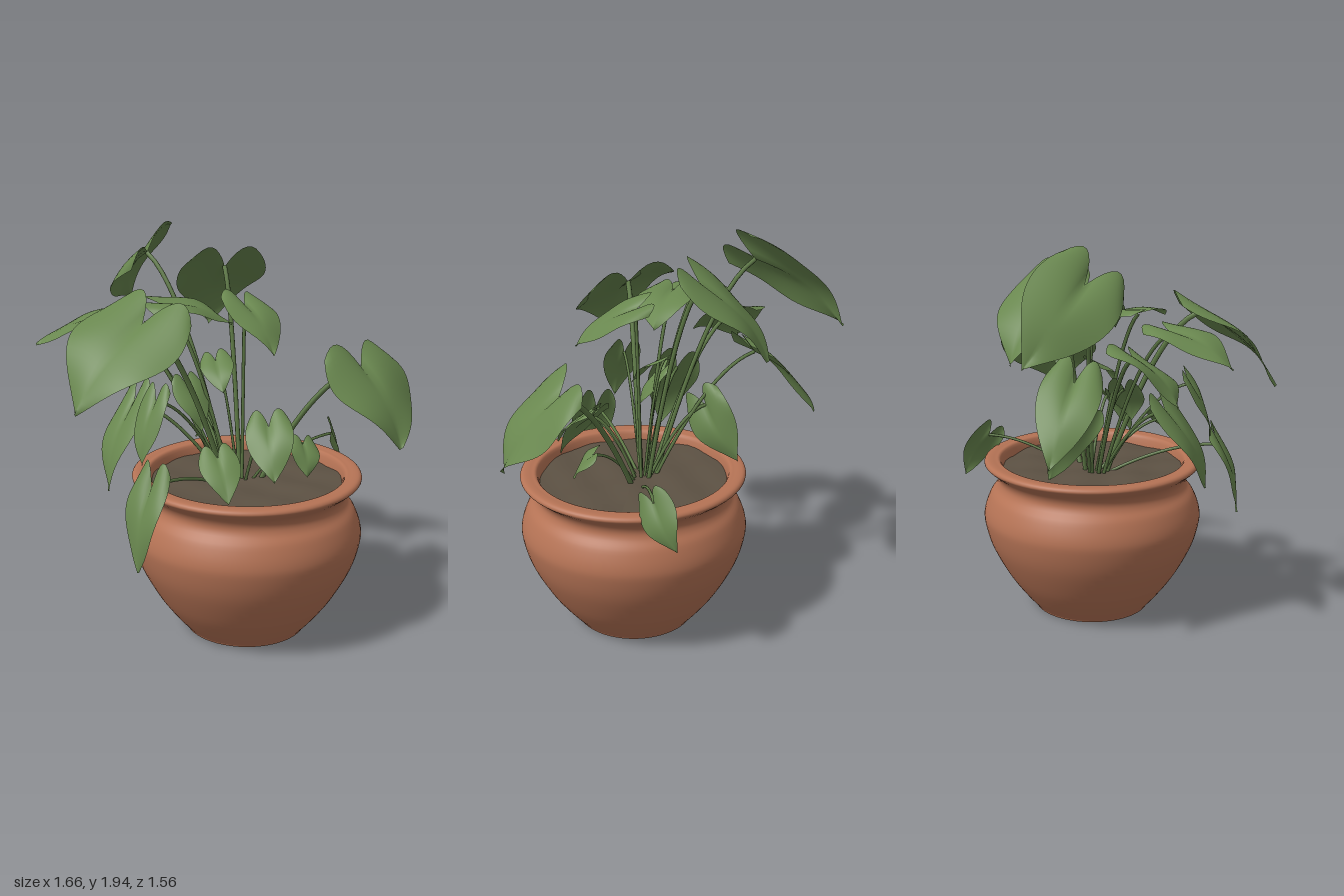
import * as THREE from 'three';

const mat = (name, color, side = THREE.FrontSide) => {
  const m = new THREE.MeshStandardMaterial({ color, side });
  m.name = name;
  return m;
};
const terracotta = mat('terracotta', 0xb57355);
const soilBrown = mat('soil brown', 0x5c5143);
const leafGreen = mat('leaf green', 0x69874f, THREE.DoubleSide);
const stemGreen = mat('stem green', 0x5d7845);

const CX = 0.11, CZ = 0.22; // pot axis

// Heart-shaped blade from its notch (base) to its tip, rolled about the midrib
function leafGeometry(base, tip, roll, half, seed) {
  const along = tip.clone().sub(base), len = along.length();
  along.normalize();
  const across = new THREE.Vector3(-along.z, 0, along.x).normalize().applyAxisAngle(along, -roll);
  const up = across.clone().cross(along);
  if (up.y < 0) up.negate();
  const nu = 16, nv = 20, pos = [], index = [];
  for (let j = 0; j <= nv; j++) {
    const v = j / nv;
    const width = half * 1.06 * Math.sin(Math.PI * (0.27 + 0.73 * v)) * (1 - 0.2 * v);
    for (let i = 0; i <= nu; i++) {
      const u = (i / nu) * 2 - 1, a = Math.abs(u);
      const lobe = 0.3 * Math.sin(Math.PI * Math.pow(a, 0.9) * 0.82) * (1 - v) ** 2;
      const wave = 0.07 * half * a * Math.sin(v * 8 + seed * 2.3 + (u > 0 ? 1.5 : 0));
      const lift = 0.1 * len * Math.sin(Math.PI * v) + 0.2 * half * (a - 1.5 * a * a) * (1 - v) + wave;
      const p = base.clone()
        .addScaledVector(along, (v - lobe) * len)
        .addScaledVector(across, u * width)
        .addScaledVector(up, lift);
      pos.push(p.x, p.y, p.z);
      if (i < nu && j < nv) {
        const k = j * (nu + 1) + i;
        index.push(k, k + 1, k + nu + 1, k + 1, k + nu + 2, k + nu + 1);
      }
    }
  }
  const g = new THREE.BufferGeometry();
  g.setAttribute('position', new THREE.Float32BufferAttribute(pos, 3));
  g.setIndex(index);
  g.computeVertexNormals();
  return g;
}

// Blade plus a curved stem that rises from the middle of the soil
function addLeaf(parent, seed, name, base, tip, { roll = 0, ratio = 0.4 }) {
  const half = ratio * base.distanceTo(tip);
  const blade = new THREE.Mesh(leafGeometry(base, tip, roll, half, seed), leafGreen);
  blade.name = name + 'Leaf';
  const foot = new THREE.Vector3(0.083 + 0.17 * base.x, 0.73, 0.16 + 0.12 * base.z);
  const bend = foot.clone().lerp(base, 0.55);
  bend.y = THREE.MathUtils.lerp(foot.y, base.y, 0.85) + 0.03;
  const path = new THREE.QuadraticBezierCurve3(foot, bend, base);
  const stem = new THREE.Mesh(new THREE.TubeGeometry(path, 18, 0.004 + 0.035 * half, 7), stemGreen);
  stem.name = name + 'Stem';
  parent.add(blade, stem);
}

function createPot() {
  const pot = new THREE.Group();
  pot.name = 'potAndSoil';
  pot.position.set(CX, 0, CZ);

  // Round belly, neck, rolled rim, then the inner wall
  const profile = new THREE.SplineCurve([
    [0.3, 0.01], [0.36, 0.08], [0.44, 0.19], [0.52, 0.34], [0.555, 0.46], [0.555, 0.53],
    [0.525, 0.61], [0.49, 0.655], [0.48, 0.69], [0.495, 0.725], [0.53, 0.755],
    [0.553, 0.778], [0.54, 0.797], [0.5, 0.797], [0.47, 0.785], [0.45, 0.7],
  ].map(([r, y]) => new THREE.Vector2(r, y))).getPoints(70);
  const body = new THREE.Mesh(new THREE.LatheGeometry(profile, 72), terracotta);
  body.name = 'potBody';
  const foot = new THREE.Mesh(new THREE.CylinderGeometry(0.3, 0.295, 0.01, 72), terracotta);
  foot.name = 'potFoot';
  foot.position.y = 0.005;

  // Slightly uneven soil disc
  const soilGeo = new THREE.RingGeometry(0, 0.465, 48, 10).rotateX(-Math.PI / 2);
  const sp = soilGeo.attributes.position;
  for (let i = 0; i < sp.count; i++) {
    const x = sp.getX(i), z = sp.getZ(i);
    sp.setY(i, 0.745 + 0.008 * Math.sin(x * 17 + z * 5) * Math.cos(z * 19 - x * 4));
  }
  soilGeo.computeVertexNormals();
  const soil = new THREE.Mesh(soilGeo, soilBrown);
  soil.name = 'soil';

  pot.add(body, foot, soil);
  return pot;
}

export function createModel() {
  const model = new THREE.Group();
  model.name = 'pottedPlant';
  model.add(createPot());

  const foliage = new THREE.Group();
  foliage.name = 'foliage';
  model.add(foliage);
  let seed = 0;
  const leaf = (name, bx, by, bz, tx, ty, tz, shape = {}) =>
    addLeaf(foliage, seed++, name, new THREE.Vector3(bx, by, bz), new THREE.Vector3(tx, ty, tz), shape);

  // Large canopy leaves: notch, then tip
  leaf('tallBack', -0.2, 1.78, -0.34, -0.16, 1.47, -0.77, { roll: 0.75 });
  leaf('bigLeft', -0.43, 1.58, 0.31, -0.79, 1.24, 0.46, { roll: 0.25, ratio: 0.52 });
  leaf('outerLeft', -0.47, 1.54, -0.03, -0.82, 1.42, -0.1);
  leaf('bigRight', 0.57, 1.33, 0.48, 0.66, 1.0, 0.73, { roll: 0.1, ratio: 0.62 });
  leaf('backLeft', -0.37, 1.44, -0.2, -0.63, 1.26, -0.24, { roll: 0.35, ratio: 0.6 });
  leaf('lowBack', -0.15, 1.33, -0.35, -0.21, 1.0, -0.65, { roll: 0.26, ratio: 0.32 });
  leaf('upperBack', 0.12, 1.73, -0.11, 0.15, 1.39, -0.43, { ratio: 0.47 });
  leaf('centreTop', -0.25, 1.6, 0.06, 0.07, 1.5, 0.12, { roll: -0.08, ratio: 0.44 });
  leaf('frontTop', 0.1, 1.6, 0.2, 0.13, 1.42, 0.48, { roll: 0.18 });

  // Drooping leaves at the sides
  leaf('droopingSide', -0.4, 1.14, 0.06, -0.57, 0.76, 0.17, { roll: -0.37, ratio: 0.3 });
  leaf('hangingFront', -0.46, 0.88, 0.5, -0.55, 0.51, 0.57, { roll: -0.27, ratio: 0.3 });
  leaf('smallSide', -0.38, 1.22, 0.33, -0.47, 0.95, 0.4, { roll: -0.27, ratio: 0.32 });
  leaf('smallRight', 0.64, 0.87, 0.05, 0.72, 0.67, -0.06, { roll: -1.26 });

  // Small leaves low over the soil
  leaf('lowInner', -0.05, 1.08, -0.12, 0.03, 0.82, -0.29, { roll: 1.65 });
  leaf('middle', -0.15, 1.21, 0.1, -0.12, 1.02, 0.22);
  leaf('inner', 0.0, 1.32, 0.08, -0.02, 1.2, 0.24, { roll: -0.25 });
  leaf('front', 0.14, 1.07, 0.41, 0.1, 0.85, 0.58, { roll: -0.23 });
  leaf('frontLeft', -0.14, 0.97, 0.48, -0.15, 0.81, 0.65, { roll: -0.15 });
  leaf('frontRight', 0.33, 0.95, 0.38, 0.31, 0.82, 0.48, { roll: 0.3, ratio: 0.48 });

  return model;
}
